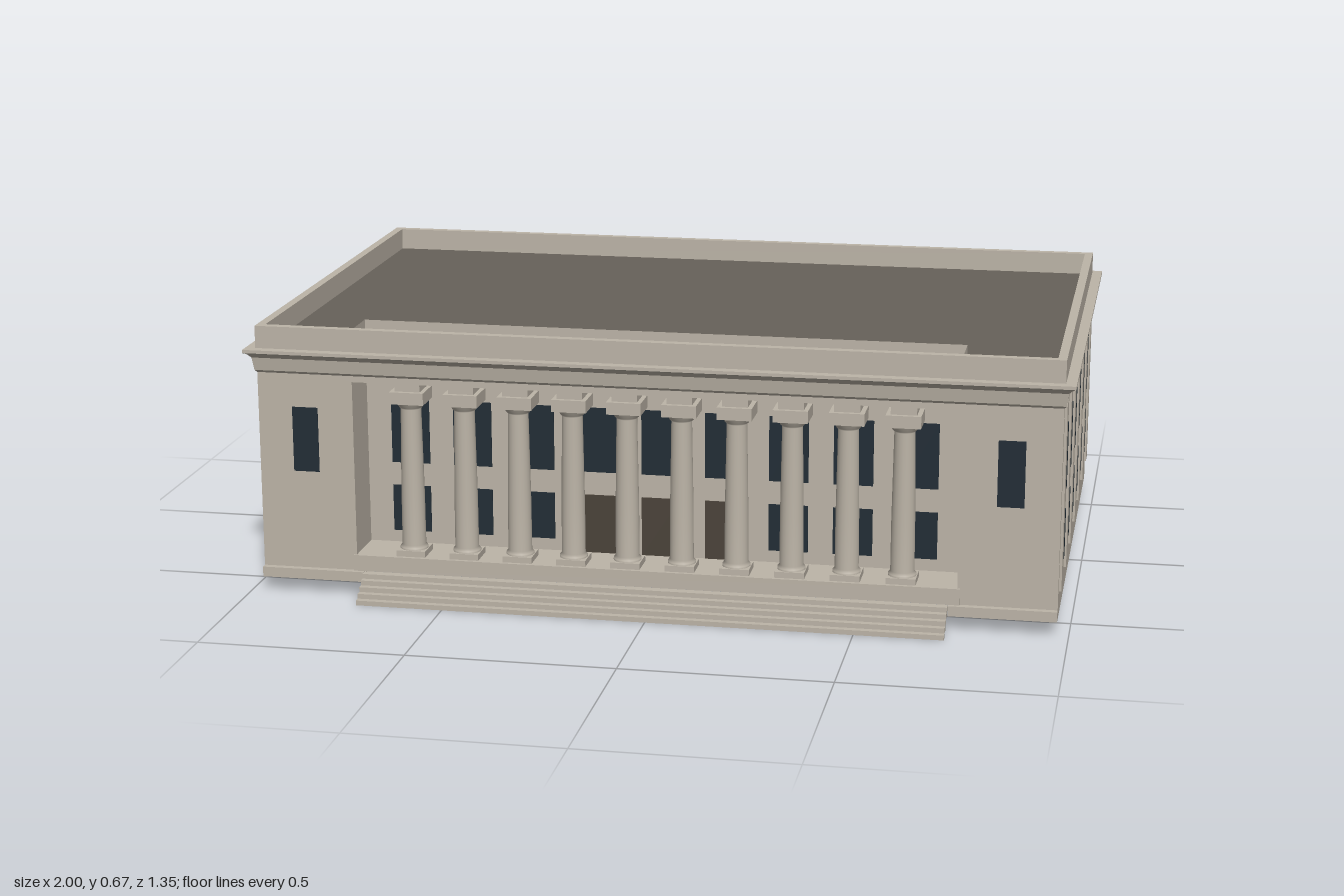
import * as THREE from 'three';

const material = (name, color) => {
  const m = new THREE.MeshStandardMaterial({ color, side: THREE.DoubleSide, flatShading: false });
  m.name = name;
  return m;
};

export function createModel() {
  const stone = material('stone', 0xbdb5a8);
  const roofGrey = material('roof grey', 0x67625a);
  const glass = material('window glass', 0x222d36);
  const wood = material('door brown', 0x4b433a);

  const model = new THREE.Group();
  model.name = 'columnedHall';

  const X = 0.972, ZF = 0.585, ZB = -0.648;   // outer wall planes
  const RX = 0.735, RZ = 0.463;               // portico recess
  const FLOOR = 0.1, SOFFIT = 0.535, BASE = 0.035, ROOF = 0.61, TOP = 0.665;

  const add = (name, geometry, mat, x = 0, y = 0, z = 0, parent = model) => {
    const mesh = new THREE.Mesh(geometry, mat);
    mesh.name = name;
    mesh.position.set(x, y, z);
    parent.add(mesh);
    return mesh;
  };
  // Box given by its limits
  const box = (name, mat, x0, x1, y0, y1, z0, z1, parent) =>
    add(name, new THREE.BoxGeometry(x1 - x0, y1 - y0, z1 - z0), mat,
      (x0 + x1) / 2, (y0 + y1) / 2, (z0 + z1) / 2, parent);
  // Upright sheet, turned about y
  const sheet = (name, w, y0, y1, x, z, turn = 0) => {
    const mesh = add(name, new THREE.PlaneGeometry(w, y1 - y0), stone, x, (y0 + y1) / 2, z);
    mesh.rotation.y = turn;
  };

  // Outer walls
  const depth = ZF - ZB, midZ = (ZF + ZB) / 2;
  sheet('backWall', 2 * X, BASE, ROOF, 0, ZB, Math.PI);
  for (const s of [-1, 1]) sheet('sideWall', depth, BASE, ROOF, s * X, midZ, s * Math.PI / 2);

  // Front wall with the portico opening
  const front = new THREE.Shape([[-X, BASE], [-RX, BASE], [-RX, SOFFIT], [RX, SOFFIT],
    [RX, BASE], [X, BASE], [X, ROOF], [-X, ROOF]].map(p => new THREE.Vector2(...p)));
  add('frontWall', new THREE.ShapeGeometry(front), stone, 0, 0, ZF);

  // Portico recess, its walls rising past the roof
  sheet('recessBackWall', 2 * RX, 0.06, TOP - 0.003, 0, RZ);
  for (const s of [-1, 1]) {
    sheet('recessSideWall', ZF - RZ, 0.06, TOP - 0.003, s * RX, (ZF + RZ) / 2, -s * Math.PI / 2);
  }
  const soffit = add('porticoCeiling', new THREE.PlaneGeometry(2 * RX, ZF - RZ), stone, 0, SOFFIT, (ZF + RZ) / 2);
  soffit.rotation.x = Math.PI / 2;

  // Cornice and parapet: rectangular rings of [outward offset, height]
  const profile = [[0, 0.55], [0.005, 0.556], [0.01, 0.588], [0.019, 0.598], [0.027, 0.602],
    [0.027, ROOF], [0.002, ROOF], [0.002, TOP], [-0.019, TOP], [-0.019, ROOF]];
  const ringPos = [];
  const corner = ([o, y], k) => {
    const sx = k % 4 === 0 || k % 4 === 3 ? -1 : 1;
    const sz = k % 4 < 2 ? 1 : -1;
    return [sx * (X + o), y, midZ + sz * (depth / 2 + o)];
  };
  for (let i = 0; i < profile.length - 1; i++) {
    for (let k = 0; k < 4; k++) {
      const a = corner(profile[i], k), b = corner(profile[i], k + 1);
      const c = corner(profile[i + 1], k + 1), d = corner(profile[i + 1], k);
      ringPos.push(...a, ...b, ...c, ...a, ...c, ...d);
    }
  }
  const ring = new THREE.BufferGeometry();
  ring.setAttribute('position', new THREE.Float32BufferAttribute(ringPos, 3));
  ring.computeVertexNormals();
  add('corniceAndParapet', ring, stone);

  // Flat roof behind the parapet
  const roof = add('roof', new THREE.PlaneGeometry(2 * X - 0.038, depth - 0.038), roofGrey, 0, ROOF, midZ);
  roof.rotation.x = -Math.PI / 2;

  // Front plinths, portico floor and steps
  for (const s of [-1, 1]) {
    const a = s * 0.715, b = s * X;
    box('frontPlinth', stone, Math.min(a, b), Math.max(a, b), BASE, 0.06, RZ, 0.601);
  }
  box('porticoFloor', stone, -0.742, 0.742, 0.06, FLOOR, RZ - 0.002, 0.591);
  const STEPS = 5, rise = 0.06 / STEPS, tread = 0.0155;
  for (let i = 0; i < STEPS; i++) {
    const z = 0.675 - i * tread;
    box('step', stone, -0.714, 0.714, i * rise, (i + 1) * rise, z - tread * 1.4, z);
  }

  // Columns
  const shaft = new THREE.LatheGeometry([[0.034, 0.114], [0.034, 0.12], [0.029, 0.126], [0.0285, 0.25],
    [0.025, 0.468], [0.029, 0.472], [0.036, 0.486]].map(p => new THREE.Vector2(...p)), 20);
  for (let i = 0; i < 10; i++) {
    const column = new THREE.Group();
    column.name = 'column';
    column.position.set(-0.6 + i * 1.2 / 9, 0, 0.546);
    box('columnBase', stone, -0.036, 0.036, FLOOR, 0.115, -0.036, 0.036, column);
    add('columnShaft', shaft, stone, 0, 0, 0, column);
    box('columnCapital', stone, -0.042, 0.042, 0.485, 0.515, -0.042, 0.042, column);
    box('columnBlock', stone, -0.031, 0.031, 0.515, SOFFIT, -0.031, 0.031, column);
    model.add(column);
  }

  // Thin panes passing through the walls, so they show on both sides
  const T = 0.004;
  const paneZ = (name, mat, x, w, y0, y1, z) => box(name, mat, x - w / 2, x + w / 2, y0, y1, z - T / 2, z + T / 2);
  const paneX = (name, mat, z, w, y0, y1, x) => box(name, mat, x - T / 2, x + T / 2, y0, y1, z - w / 2, z + w / 2);

  // Portico windows and three doors
  for (let i = -4; i <= 4; i++) {
    const x = i * 0.1565;
    paneZ('porticoUpperWindow', glass, x, 0.096, 0.305, 0.467, RZ);
    if (Math.abs(i) < 2) paneZ('door', wood, x, 0.096, FLOOR, 0.247, RZ);
    else paneZ('porticoLowerWindow', glass, x, 0.096, 0.13, 0.247, RZ);
  }
  // Wing and back windows
  for (const s of [-1, 1]) paneZ('wingWindow', glass, s * 0.855, 0.064, 0.306, 0.467, ZF);
  for (let i = 0; i < 10; i++) paneZ('backWindow', glass, (i - 4.5) * 0.186, 0.112, 0.306, 0.467, ZB);

  // Side windows with shallow pilasters between them
  for (const s of [-1, 1]) {
    for (let i = 0; i < 6; i++) {
      const z = 0.443 - i * 0.1902;
      paneX('sideUpperWindow', glass, z, 0.113, 0.308, 0.468, s * X);
      paneX('sideLowerWindow', glass, z, 0.113, 0.134, 0.252, s * X);
    }
    for (let i = 0; i < 7; i++) {
      const z = 0.538 - i * 0.1902;
      box('sidePilaster', stone, s * X + (s < 0 ? -0.006 : 0), s * X + (s < 0 ? 0 : 0.006),
        FLOOR, 0.555, z - 0.025, z + 0.025);
    }
  }
  return model;
}
